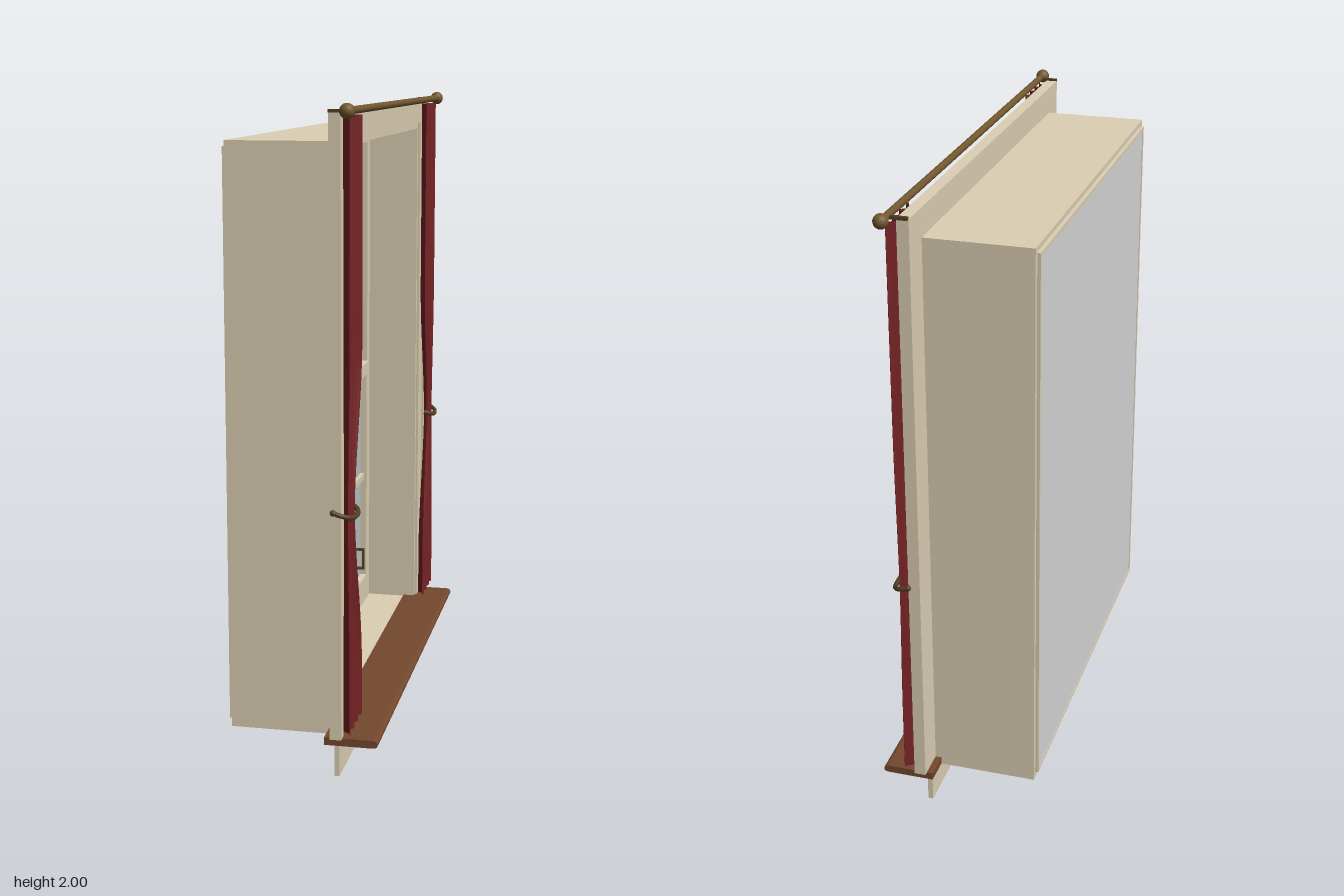
import * as THREE from 'three';

const mat = (name, color, side = THREE.FrontSide) => {
  const m = new THREE.MeshStandardMaterial({ color, side });
  m.name = name;
  return m;
};

export function createModel() {
  const cream = mat('cream paint', 0xdccfb3);
  const glass = mat('glass', 0xb6c0c0, THREE.DoubleSide);
  const grey = mat('grey backing', 0xd6d6d6);
  const wood = mat('brown wood', 0x74482e);
  const cloth = mat('red cloth', 0x752224, THREE.DoubleSide);
  const brass = mat('aged brass', 0x73582f);
  const bronze = mat('dark bronze', 0x544023);

  const root = new THREE.Group();
  root.name = 'window';
  const add = (name, geo, m, parent = root) => {
    const mesh = new THREE.Mesh(geo, m);
    mesh.name = name;
    parent.add(mesh);
    return mesh;
  };
  // box given by its limits on each axis
  const box = (name, m, x0, x1, y0, y1, z0, z1, parent) => {
    const g = new THREE.BoxGeometry(x1 - x0, y1 - y0, z1 - z0);
    g.translate((x0 + x1) / 2, (y0 + y1) / 2, (z0 + z1) / 2);
    return add(name, g, m, parent);
  };
  // rectangular frame facing +x, symmetric about z = 0
  const frame = (name, m, x0, x1, w, y0, y1, hw, hy0, hy1, parent) => {
    const rect = (P, a, b, c) => new P([[-a, b], [a, b], [a, c], [-a, c]].map(p => new THREE.Vector2(...p)));
    const s = rect(THREE.Shape, w, y0, y1);
    s.holes.push(rect(THREE.Path, hw, hy0, hy1));
    const g = new THREE.ExtrudeGeometry(s, { depth: x1 - x0, bevelEnabled: false });
    g.rotateY(Math.PI / 2).translate(x0, 0, 0);
    return add(name, g, m, parent);
  };
  const tube = (name, pts, r, m) => add(name, new THREE.TubeGeometry(
    new THREE.CatmullRomCurve3(pts.map(p => new THREE.Vector3(...p))), 32, r, 8), m);

  // deep wall box and backing
  frame('wallBox', cream, -0.232, 0.097, 0.668, 0.12, 1.89, 0.645, 0.14, 1.875);
  frame('backFrame', cream, -0.242, -0.23, 0.652, 0.14, 1.872, 0.64, 0.152, 1.86);
  box('backPanel', grey, -0.24, -0.23, 0.15, 1.862, -0.642, 0.642);

  // inner frame and stop, set deep in the reveal
  frame('innerFrame', cream, -0.17, -0.1, 0.646, 0.14, 1.876, 0.592, 0.2, 1.82);
  frame('innerStop', cream, -0.1, -0.057, 0.646, 0.14, 1.876, 0.597, 0.196, 1.828);

  // two sashes, each with a 3 x 2 grid of panes
  const sash = (name, x, y0, y1, gy0, gy1, barY) => {
    const g = new THREE.Group();
    g.name = name;
    root.add(g);
    frame('sashFrame', cream, x - 0.045, x, 0.596, y0, y1, 0.549, gy0, gy1, g);
    box('glassPane', glass, x - 0.028, x - 0.022, gy0, gy1, -0.55, 0.55, g);
    for (const z of [-0.183, 0.183]) box('verticalBar', cream, x - 0.036, x - 0.008, gy0, gy1, z - 0.011, z + 0.011, g);
    box('crossBar', cream, x - 0.036, x - 0.008, barY - 0.011, barY + 0.011, -0.55, 0.55, g);
  };
  sash('lowerSash', -0.05, 0.198, 1.04, 0.245, 0.996, 0.62);
  sash('upperSash', -0.095, 1.0, 1.824, 1.053, 1.77, 1.412);

  // sash lock
  box('lockPlate', bronze, -0.075, -0.033, 1.039, 1.047, -0.05, 0.05);
  add('lockKnob', new THREE.CylinderGeometry(0.012, 0.016, 0.018, 12).translate(-0.053, 1.054, 0), bronze);
  box('lockLever', bronze, -0.056, -0.018, 1.052, 1.06, -0.007, 0.007);

  // sash lifts
  for (const z of [-0.325, 0.325]) {
    box('liftGrip', bronze, -0.021, -0.013, 0.333, 0.41, z - 0.004, z + 0.004);
    for (const y of [0.337, 0.406]) box('liftArm', bronze, -0.073, -0.016, y - 0.004, y + 0.004, z - 0.004, z + 0.004);
  }

  // stepped casing: [inner edge, outer edge, inner top, outer top, front]
  for (const [a, b, c, d, x] of [[0.645, 0.768, 1.875, 1.975, 0.114],
    [0.662, 0.768, 1.897, 1.975, 0.122], [0.735, 0.768, 1.945, 1.975, 0.13]]) {
    for (const s of [-1, 1]) box('sideCasing', cream, 0.094, x, 0.143, d, Math.min(s * a, s * b), Math.max(s * a, s * b));
    box('headCasing', cream, 0.094, x, c, d, -a, a);
  }

  // sill with rounded nose, and apron below
  const nose = new THREE.Shape();
  nose.moveTo(0.075, 0.12);
  nose.lineTo(0.222, 0.12);
  nose.quadraticCurveTo(0.237, 0.121, 0.237, 0.131);
  nose.quadraticCurveTo(0.237, 0.143, 0.222, 0.144);
  nose.lineTo(0.075, 0.144);
  add('sill', new THREE.ExtrudeGeometry(nose, { depth: 1.51, bevelEnabled: false, curveSegments: 5 }).translate(0, 0, -0.755), wood);
  box('apron', cream, 0.095, 0.111, 0, 0.121, -0.7, 0.7);

  // curtain rod, with finials and brackets
  const rodX = 0.157, rodY = 1.978;
  add('curtainRod', new THREE.CylinderGeometry(0.011, 0.011, 1.6, 16).rotateX(Math.PI / 2).translate(rodX, rodY, 0), brass);
  for (const s of [-1, 1]) {
    add('finial', new THREE.SphereGeometry(0.022, 20, 14).translate(rodX, rodY, s * 0.813), brass);
    box('rodBracket', bronze, 0.095, rodX, 1.972, 1.982, s * 0.77 - 0.005, s * 0.77 + 0.005);
  }

  // curtains with soft folds, gathered at the tieback
  const smooth = THREE.MathUtils.smoothstep;
  const gather = y => y > 0.83 ? 1 - smooth(y, 0.8, 1.32) : smooth(y, 0.33, 0.86);
  const curtain = s => {
    const g = new THREE.PlaneGeometry(1, 1, 56, 60);
    const p = g.attributes.position;
    for (let i = 0; i < p.count; i++) {
      const u = p.getX(i) + 0.5, y = 0.165 + (p.getY(i) + 0.5) * 1.797;
      const k = gather(y), inner = 0.595 + 0.09 * k;
      const wave = Math.sin(u * Math.PI * 6.5 + 0.6);
      p.setXYZ(i, 0.146 + 0.0135 * (1 - 0.4 * k) * wave, y, s * (inner + (0.779 - inner) * u));
    }
    // keep the faces outward on the mirrored side
    if (s > 0) {
      const ix = g.index.array;
      for (let i = 0; i < ix.length; i += 3) [ix[i], ix[i + 1]] = [ix[i + 1], ix[i]];
    }
    g.computeVertexNormals();
    add('curtain', g, cloth);
    // tieback sweeping across the cloth
    tube('tieback', [[0.115, 0.848, s * 0.812], [0.14, 0.84, s * 0.81], [0.162, 0.831, s * 0.79], [0.17, 0.826, s * 0.745],
      [0.168, 0.829, s * 0.71], [0.157, 0.836, s * 0.685], [0.14, 0.842, s * 0.678]], 0.0075, bronze);
    add('tiebackTip', new THREE.SphereGeometry(0.009, 12, 8).translate(0.115, 0.848, s * 0.812), bronze);
  };
  curtain(1);
  curtain(-1);

  return root;
}
